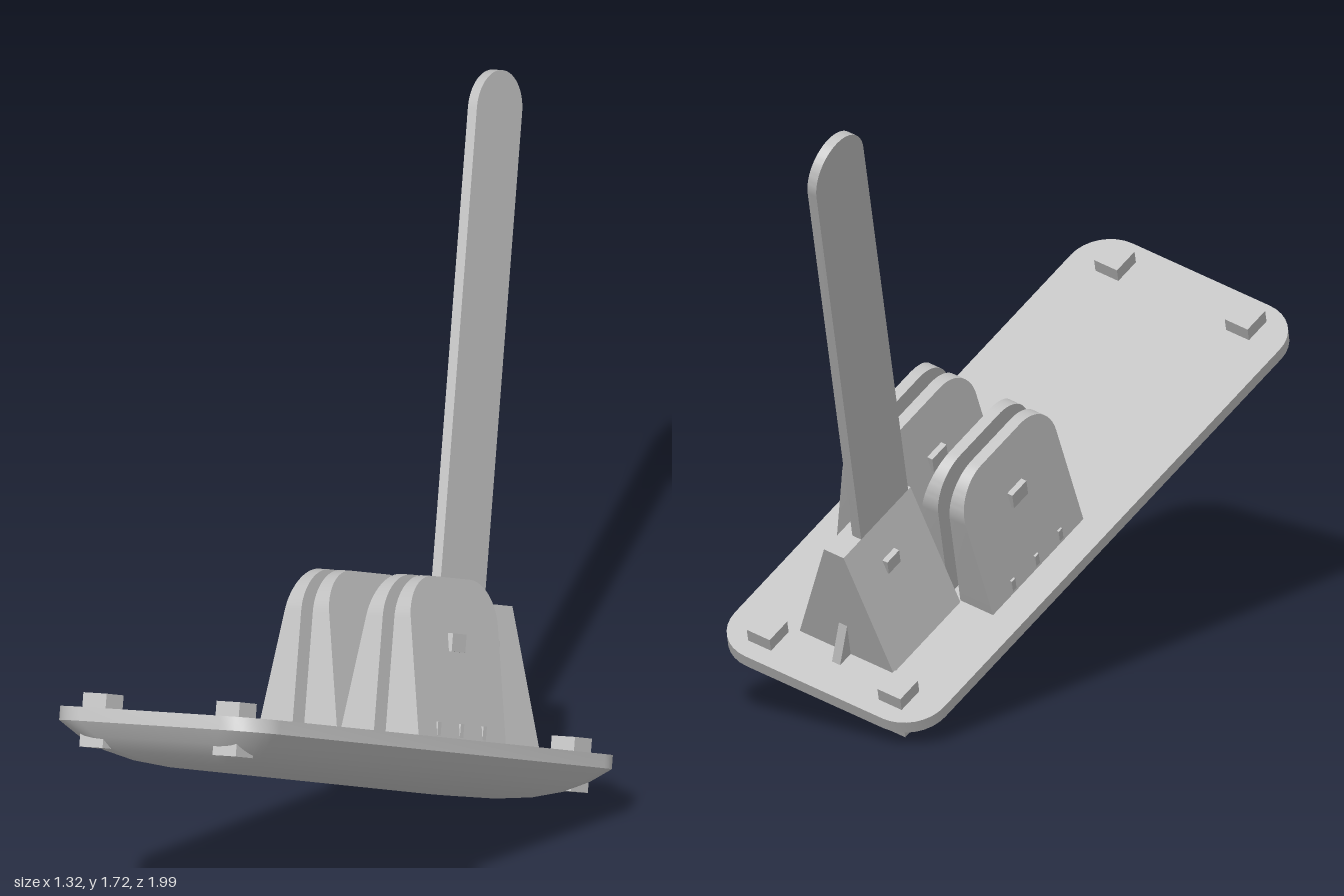
import * as THREE from 'three';
import { toCreasedNormals } from 'three/addons/utils/BufferGeometryUtils.js';

const grey = new THREE.MeshStandardMaterial({ color: 0xc0c0c0 });
grey.name = 'light grey';

// Local frame: x across the board, y up from the deck, z towards the high end (l = -z)
function add(group, name, geo) {
  const mesh = new THREE.Mesh(geo, grey);
  mesh.name = name;
  group.add(mesh);
  return mesh;
}

function addBox(group, name, w, h, d, x, y, z) {
  const mesh = add(group, name, new THREE.BoxGeometry(w, h, d));
  mesh.position.set(x, y, z);
  return mesh;
}

// Rounded rectangle ring at height y
function ring(halfX, halfZ, r, y) {
  const pts = [];
  const steps = 8;
  for (let k = 0; k < 4; k++) {
    const sx = k === 0 || k === 3 ? 1 : -1;
    const sz = k < 2 ? 1 : -1;
    for (let j = 0; j <= steps; j++) {
      const a = (k + j / steps) * Math.PI / 2;
      pts.push([sx * (halfX - r) + r * Math.cos(a), y, sz * (halfZ - r) + r * Math.sin(a)]);
    }
  }
  return pts;
}

// Flat deck, upright rim and shallow rounded belly
function hullGeometry() {
  const levels = [[0, 0], [-0.035, 0], [-0.07, 0.04], [-0.1, 0.09], [-0.12, 0.15], [-0.13, 0.22]];
  const rings = levels.map(([y, inset]) =>
    ring(0.32 - inset, 0.826 - inset, Math.max(0.04, 0.11 - inset * 0.3), y));
  const n = rings[0].length;
  const pos = [];
  const last = rings.length - 1;
  for (let j = 0; j < n; j++) {
    const k = (j + 1) % n;
    pos.push(0, 0, 0, ...rings[0][k], ...rings[0][j]);
    for (let i = 0; i < last; i++) {
      const a = rings[i][j], b = rings[i][k], c = rings[i + 1][j], d = rings[i + 1][k];
      pos.push(...a, ...b, ...c, ...b, ...d, ...c);
    }
    pos.push(0, levels[last][0], 0, ...rings[last][j], ...rings[last][k]);
  }
  const geo = new THREE.BufferGeometry();
  geo.setAttribute('position', new THREE.Float32BufferAttribute(pos, 3));
  geo.computeVertexNormals();
  return toCreasedNormals(geo, 0.5);
}

// Round-shouldered plate, thick at the foot; one face upright at x, the other sloping to side s
function finGeometry(x, s) {
  const l0 = 0.01, l1 = 0.395, h = 0.4, r = 0.11;
  const shape = new THREE.Shape();
  shape.moveTo(l0, -0.02);
  shape.lineTo(l1, -0.02);
  shape.lineTo(l1, h - r);
  shape.absarc(l1 - r, h - r, r, 0, Math.PI / 2, false);
  shape.lineTo(l0 + r, h);
  shape.absarc(l0 + r, h - r, r, Math.PI / 2, Math.PI, false);
  shape.closePath();
  const geo = new THREE.ExtrudeGeometry(shape, { depth: 1, bevelEnabled: false, curveSegments: 10 });
  const p = geo.attributes.position;
  for (let i = 0; i < p.count; i++) {
    const l = p.getX(i), v = p.getY(i), t = p.getZ(i);
    const thick = 0.1 - 0.07 * v / h;
    p.setXYZ(i, x + thick * (s > 0 ? t : t - 1), v, -l);
  }
  geo.computeVertexNormals();
  return toCreasedNormals(geo, 0.5);
}

function prism(points, depth) {
  const shape = new THREE.Shape(points.map(([x, y]) => new THREE.Vector2(x, y)));
  return new THREE.ExtrudeGeometry(shape, { depth, bevelEnabled: false });
}

export function createModel() {
  const model = new THREE.Group();
  model.name = 'model';
  const board = new THREE.Group();
  board.name = 'tiltedBoard';
  model.add(board);

  add(board, 'hull', hullGeometry());

  // Corner pegs passing through the deck
  for (const x of [-0.2, 0.2])
    for (const z of [-0.74, 0.74])
      addBox(board, 'cornerPeg', 0.07, 0.135, 0.075, x, -0.03, z);

  // Two pairs of fins, with cross pegs and foot tabs
  for (const s of [-1, 1]) {
    add(board, 'outerFin', finGeometry(s * 0.14, s));
    add(board, 'innerFin', finGeometry(s * 0.105, -s));
    addBox(board, 'outerCrossPeg', 0.07, 0.045, 0.06, s * 0.175, 0.24, -0.2);
    addBox(board, 'innerCrossPeg', 0.07, 0.045, 0.06, s * 0.07, 0.24, -0.2);
    for (const l of [0.1, 0.2, 0.3])
      addBox(board, 'footTab', 0.09, 0.04, 0.015, s * 0.194, 0.02, -l);
  }

  // Tapered pedestal with side peg and rear gusset
  add(board, 'pedestal', prism([[-0.15, -0.02], [0.15, -0.02], [0.03, 0.35], [-0.03, 0.35]], 0.285))
    .position.z = -0.685;
  addBox(board, 'pedestalPeg', 0.15, 0.04, 0.05, 0, 0.24, -0.55);
  const gusset = add(board, 'rearGusset', prism([[0, 0], [0.05, 0], [0, 0.11]], 0.025));
  gusset.rotation.y = Math.PI / 2;
  gusset.position.set(-0.0125, 0, -0.68);

  // Tall flat blade with a round tip
  const r = 0.1;
  const outline = new THREE.Shape();
  outline.moveTo(-r, 0.28);
  outline.lineTo(r, 0.28);
  outline.lineTo(r, 1.57);
  outline.absarc(0, 1.57, r, 0, Math.PI, false);
  outline.closePath();
  const bladeGeo = new THREE.ExtrudeGeometry(outline, { depth: 0.027, bevelEnabled: false, curveSegments: 20 });
  const blade = add(board, 'blade', toCreasedNormals(bladeGeo, 0.5));
  blade.rotation.y = Math.PI / 2;
  blade.position.set(-0.03, 0, -0.51);

  // Tilt the whole board into place
  const along = new THREE.Vector3(0.516, -0.442, -0.734).normalize();
  const across = new THREE.Vector3(0.858, 0.217, 0.464);
  across.addScaledVector(along, -across.dot(along)).normalize();
  const up = across.clone().cross(along);
  board.quaternion.setFromRotationMatrix(
    new THREE.Matrix4().makeBasis(across, up, along.clone().negate()));
  board.position.set(0.0035, 0.485, 0.262);
  return model;
}
